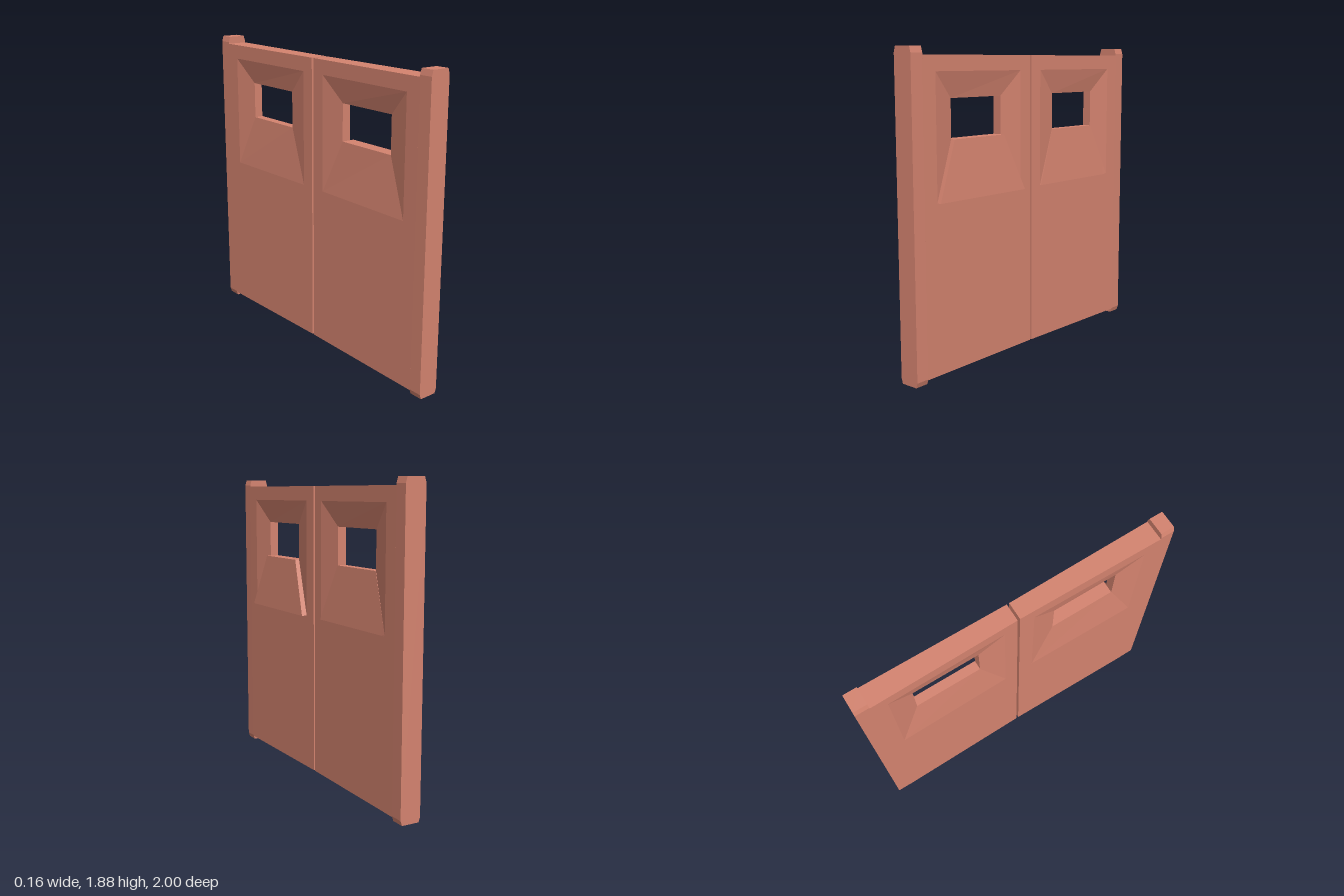
import * as THREE from 'three';

const MID = -0.015; // centre plane of the door thickness

// Joins matching loops of four corners into flat quads, optionally capping the last loop
function loft(loops, closed, cap) {
  const pos = [];
  const quad = (a, b, c, d) => pos.push(...a, ...b, ...c, ...a, ...c, ...d);
  const n = closed ? loops.length : loops.length - 1;
  for (let i = 0; i < n; i++) {
    const p = loops[i], q = loops[(i + 1) % loops.length];
    for (let j = 0; j < 4; j++) {
      const k = (j + 1) % 4;
      quad(p[j], p[k], q[k], q[j]);
    }
  }
  if (cap) quad(...loops[loops.length - 1]);
  const g = new THREE.BufferGeometry();
  g.setAttribute('position', new THREE.Float32BufferAttribute(pos, 3));
  g.computeVertexNormals();
  return g;
}

export function createModel() {
  const group = new THREE.Group();
  const paint = new THREE.MeshStandardMaterial({ color: 0xd4836f });
  paint.name = 'terracotta paint';

  const add = (name, geometry) => {
    const mesh = new THREE.Mesh(geometry, paint);
    mesh.name = name;
    group.add(mesh);
  };

  // Half thickness tapers slightly towards the gap between the doors
  const half = (z) => 0.055 + 0.01 * Math.abs(z) / 0.915;

  // Rectangle across the door; side is 1 for the outer face, -1 for the inner face
  const rect = (side, sign, z0, z1, y0, y1, h) => {
    const [a, b] = sign > 0 ? [z0, z1] : [-z1, -z0];
    return [[a, y0], [a, y1], [b, y1], [b, y0]]
      .map(([z, y]) => [MID + side * (h ?? half(z)), y, z]);
  };

  // Post outline with chamfered ends
  const outline = new THREE.Shape([
    [-0.07, 0], [0.04, 0], [0.05, 0.03], [0.05, 1.85],
    [0.04, 1.885], [-0.07, 1.885], [-0.08, 1.85], [-0.08, 0.03],
  ].map(([x, y]) => new THREE.Vector2(x, y)));

  for (const sign of [1, -1]) {
    const side = sign > 0 ? 'left' : 'right';
    const gap = sign > 0 ? 0.003 : 0.012;

    // Door leaf: outer edge, sloped recess and window opening on both faces
    const leaf = (s) => [
      rect(s, sign, gap, 0.916, 0.025, 1.84),
      rect(s, sign, 0.095, 0.82, 1.03, 1.75),
      rect(s, sign, 0.25, 0.67, 1.37, 1.6, 0.028),
    ];
    add(side + 'Door', loft([...leaf(1), ...leaf(-1).reverse()], true, false));

    // Sloped flap below the window, standing proud on one door
    const [bottomX, topX] = sign > 0 ? [0.075, 0.041] : [0.049, 0.015];
    const flap = (low, high) => {
      const m = sign > 0 ? [0.095, 0.25, 0.67, 0.82] : [-0.82, -0.67, -0.25, -0.095];
      return [[low, 1.025, m[0]], [high, 1.37, m[1]], [high, 1.37, m[2]], [low, 1.025, m[3]]];
    };
    add(side + 'Flap', loft([flap(0.035, 0.005), flap(bottomX, topX)], false, true));

    // Hinge post
    const post = new THREE.ExtrudeGeometry(outline, { depth: 0.085, bevelEnabled: false });
    post.translate(0, 0, sign > 0 ? 0.915 : -1);
    add(side + 'Post', post);
  }
  return group;
}
